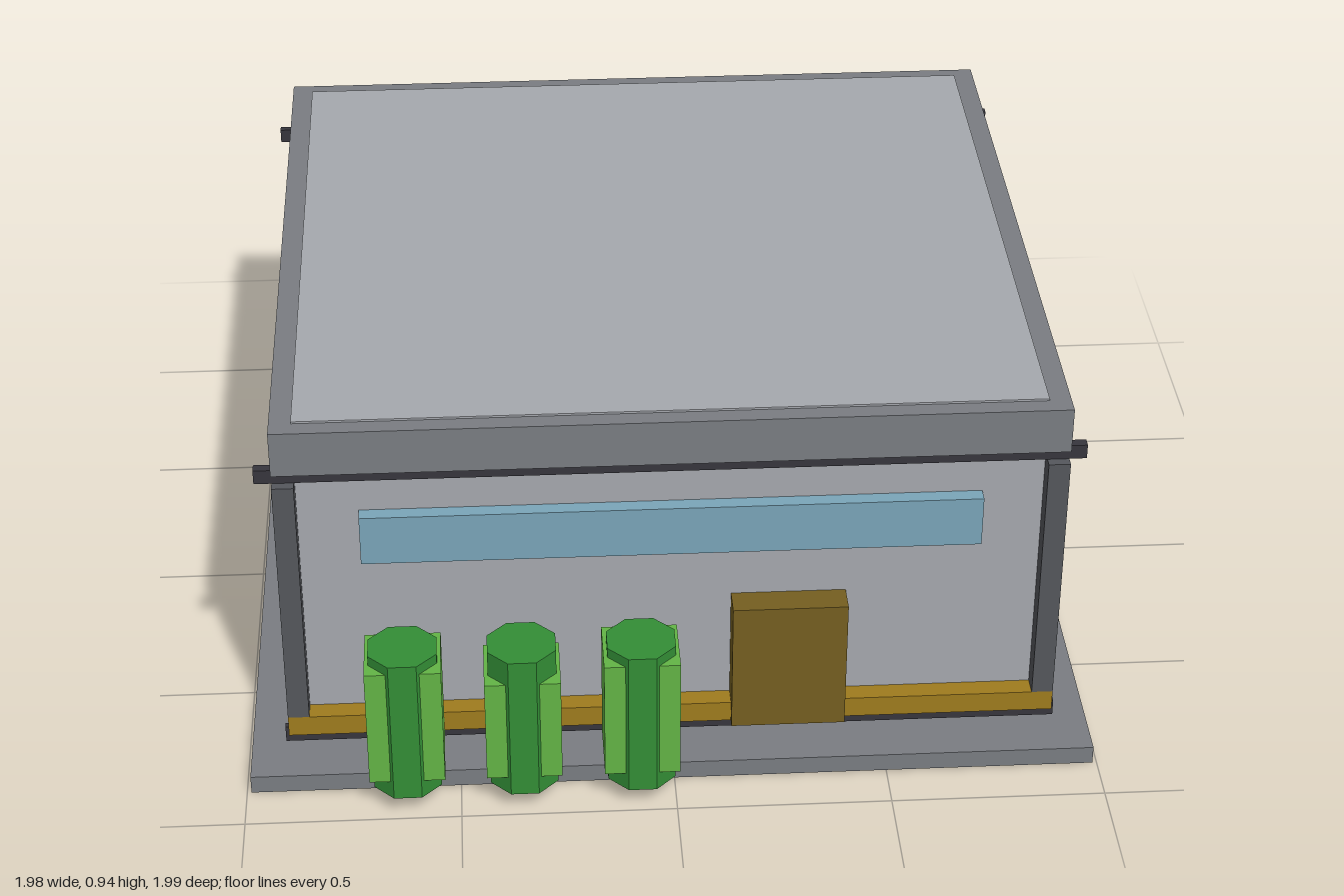
import * as THREE from 'three';

const mat = (name, color) => {
  const m = new THREE.MeshStandardMaterial({ color });
  m.name = name;
  return m;
};

export function createModel() {
  const wall = mat('wall grey', 0xa6a9ae);
  const concrete = mat('concrete grey', 0x7a7d82);
  const steel = mat('steel grey', 0x55575c);
  const dark = mat('charcoal', 0x37363d);
  const ochre = mat('ochre', 0x9f7c1e);
  const brown = mat('door brown', 0x755f20);
  const blue = mat('awning blue', 0x7aa5b9);
  const leaf = mat('light green', 0x63b546);
  const bush = mat('dark green', 0x338e36);

  const model = new THREE.Group();
  model.name = 'building';

  // Box given by its min and max along each axis
  const box = (name, material, x0, x1, y0, y1, z0, z1) => {
    const mesh = new THREE.Mesh(new THREE.BoxGeometry(x1 - x0, y1 - y0, z1 - z0), material);
    mesh.position.set((x0 + x1) / 2, (y0 + y1) / 2, (z0 + z1) / 2);
    mesh.name = name;
    model.add(mesh);
    return mesh;
  };
  // Same box on both the +x and -x sides
  const pair = (name, material, x0, x1, ...rest) => {
    box(name + 'Left', material, x0, x1, ...rest);
    box(name + 'Right', material, -x1, -x0, ...rest);
  };

  const X = 0.85, ZF = 0.75, ZB = -0.865;

  // Ground slab and the main block, whose top is the roof
  box('slab', concrete, -0.99, 0.99, 0, 0.045, -1, 0.885);
  box('walls', wall, -X, X, 0.045, 0.937, ZB, ZF);

  // Parapet around the roof
  box('parapetFront', concrete, -0.9, 0.9, 0.82, 0.932, ZF, 0.792);
  box('parapetBack', concrete, -0.9, 0.9, 0.82, 0.932, -0.906, ZB);
  pair('parapetSide', concrete, X, 0.9, 0.82, 0.932, ZB, ZF);

  // Dark trim rods under the parapet and at the foot, running past the corners
  const trim = (name, reach, out, y0, y1) => {
    box(name + 'Front', dark, -reach, reach, y0, y1, ZF, ZF + out);
    box(name + 'Back', dark, -reach, reach, y0, y1, ZB - out + 0.005, ZB);
    pair(name + 'Side', dark, X, X + out, y0, y1, ZB, ZF);
  };
  trim('upperTrim', 0.94, 0.024, 0.79, 0.825);
  trim('lowerTrim', 0.91, 0.015, 0.055, 0.096);

  // Ochre band around the base
  box('baseBandFront', ochre, -0.9, 0.9, 0.096, 0.148, ZF, 0.797);
  box('baseBandBack', ochre, -0.9, 0.9, 0.096, 0.148, -0.904, ZB);
  pair('baseBandSide', ochre, X, 0.9, 0.096, 0.148, ZB, ZF);

  // Corner posts, flat plates at the rear
  pair('frontPost', steel, X, 0.9, 0.148, 0.79, 0.745, 0.797);
  pair('rearPost', steel, X, 0.9, 0.148, 0.79, ZB - 0.001, ZB + 0.007);

  // Long awnings
  box('awningFront', blue, -0.71, 0.71, 0.57, 0.695, ZF, 0.785);
  pair('awningSide', blue, X, 0.888, 0.58, 0.69, -0.71, 0.605);

  // Side windows
  for (const [z0, z1] of [[0.235, 0.51], [-0.33, -0.055]]) {
    pair('window', dark, X, X + 0.008, 0.197, 0.424, z0, z1);
  }

  // Door and rear equipment box
  box('door', brown, 0.138, 0.405, 0.096, 0.43, ZF, 0.82);
  box('equipmentBox', dark, 0.095, 0.467, 0.05, 0.24, -1, ZB);

  // Clipped bushes: a light block with a taller octagonal core
  const apothem = 0.078;
  [[-0.622, 0.405], [-0.352, 0.365], [-0.08, 0.405]].forEach(([x, top], i) => {
    box('bushLeaves' + (i + 1), leaf, x - 0.087, x + 0.087, 0.1, top, 0.832, 0.988);
    const r = apothem / Math.cos(Math.PI / 8);
    const geo = new THREE.CylinderGeometry(r, r, 0.375, 8).toNonIndexed();
    geo.rotateY(Math.PI / 8);
    geo.computeVertexNormals();
    const core = new THREE.Mesh(geo, bush);
    core.position.set(x, 0.2425, 0.916);
    core.name = 'bushCore' + (i + 1);
    model.add(core);
  });

  return model;
}
